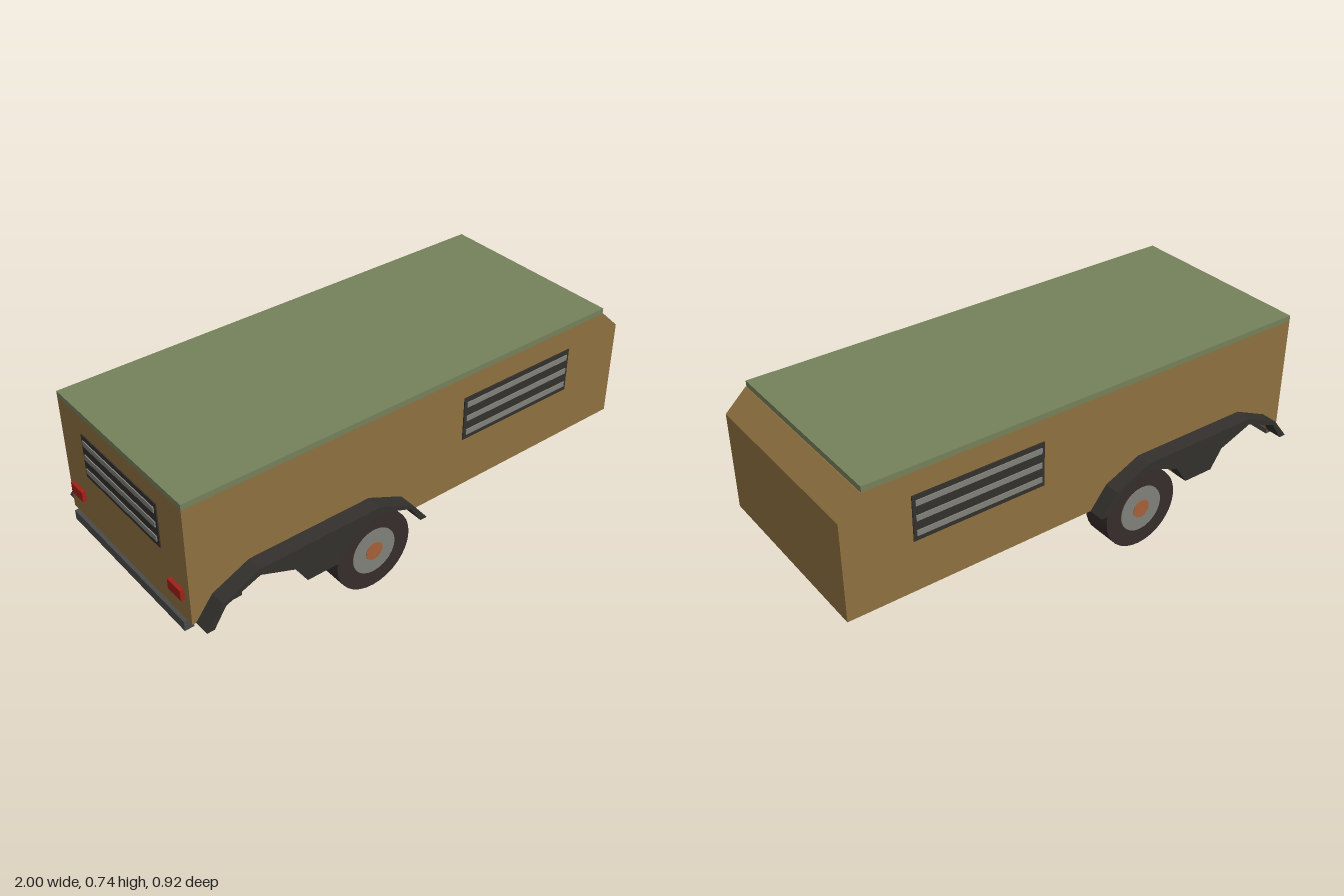
import * as THREE from 'three';

const mat = (color) => new THREE.MeshStandardMaterial({ color });

export function createModel() {
  const model = new THREE.Group();
  model.name = 'trailer';
  const tan = mat(0x8d7040), green = mat(0x75805a), dark = mat(0x33302d), grey = mat(0x7f8078);
  const steel = mat(0x4a4a48), rubber = mat(0x352d2b), rust = mat(0xa55f38), red = mat(0xa02018);

  const add = (name, geometry, material, parent = model) => {
    const mesh = new THREE.Mesh(geometry, material);
    mesh.name = name;
    parent.add(mesh);
    return mesh;
  };
  // box given by its min and max on each axis
  const box = (name, x0, x1, y0, y1, z0, z1, material, parent) =>
    add(name, new THREE.BoxGeometry(x1 - x0, y1 - y0, z1 - z0), material, parent)
      .position.set((x0 + x1) / 2, (y0 + y1) / 2, (z0 + z1) / 2);
  // outline in x, y extruded from z0 to z1
  const slab = (name, points, z0, z1, material) => {
    const shape = new THREE.Shape(points.map(([x, y]) => new THREE.Vector2(x, y)));
    const geometry = new THREE.ExtrudeGeometry(shape, { depth: z1 - z0, bevelEnabled: false });
    add(name, geometry.translate(0, 0, z0), material);
  };

  const W = 0.397, WELL = 0.3, WHEEL_X = -0.24, REAR_X = -0.75;

  // Lower edge with two wheel arches, running from rear to front
  const arches = [REAR_X, WHEEL_X].flatMap((x) => [
    [x - 0.19, 0.23], [x - 0.14, 0.307], [x, 0.362], [x + 0.14, 0.307], [x + 0.19, 0.23],
  ]);
  const top = [[1, 0.23], [1, 0.63], [0.913, 0.712], [-0.985, 0.712]];

  // Body core, with outer sides cut away for the wheel wells
  slab('bodyCore', [[-0.985, 0.23], ...top], -WELL, WELL, tan);
  for (const [z0, z1] of [[WELL, W], [-W, -WELL]])
    slab('bodySide', [[-0.985, 0.23], ...arches, ...top], z0, z1, tan);
  box('lid', -0.985, 0.91, 0.712, 0.735, -W, W, green);

  // Mudguards following the arches
  const guard = [
    ...arches, [-0.02, 0.23], [-0.09, 0.32], [WHEEL_X, 0.388], [REAR_X, 0.388], [-0.9, 0.32], [-0.97, 0.23],
  ];
  for (const [z0, z1] of [[W, 0.462], [-0.462, -W]]) slab('mudguard', guard, z0, z1, dark);

  // Louvred vent facing +z
  const vent = (name, width) => {
    const group = new THREE.Group();
    group.name = name;
    box('ventPanel', -width / 2, width / 2, -0.091, 0.091, -0.005, 0.004, dark, group);
    for (const y of [-0.06, 0, 0.06])
      box('ventSlat', -width / 2 + 0.012, width / 2 - 0.012, y - 0.011, y + 0.011, 0, 0.008, grey, group);
    model.add(group);
    return group;
  };
  for (const s of [1, -1]) {
    const side = vent('sideVent', 0.535);
    side.position.set(0.466, 0.532, s * W);
    if (s < 0) side.rotation.y = Math.PI;
  }
  const rear = vent('rearVent', 0.485);
  rear.position.set(-0.985, 0.55, 0);
  rear.rotation.y = -Math.PI / 2;

  // Tail lights, bumper and cross bars
  for (const s of [1, -1])
    box('tailLight', -1, -0.98, 0.32, 0.363, s * 0.325 - 0.04, s * 0.325 + 0.04, red);
  box('rearBumper', -1, -0.963, 0.19, 0.23, -0.37, 0.37, steel);
  box('rearCrossBar', REAR_X - 0.02, REAR_X + 0.02, 0.145, 0.187, -0.305, 0.305, dark);
  box('axle', WHEEL_X - 0.02, WHEEL_X + 0.02, 0.145, 0.187, -0.31, 0.31, dark);

  // Wheels
  for (const s of [1, -1]) {
    const wheel = new THREE.Group();
    wheel.name = 'wheel';
    wheel.position.set(WHEEL_X, 0.165, s * 0.3665);
    const disc = (name, r, depth, n, material) =>
      add(name, new THREE.CylinderGeometry(r, r, depth, n).rotateX(Math.PI / 2), material, wheel);
    disc('tire', 0.165, 0.121, 32, rubber);
    disc('rim', 0.096, 0.126, 24, grey);
    disc('hubCap', 0.038, 0.131, 12, rust);
    model.add(wheel);
  }
  return model;
}
